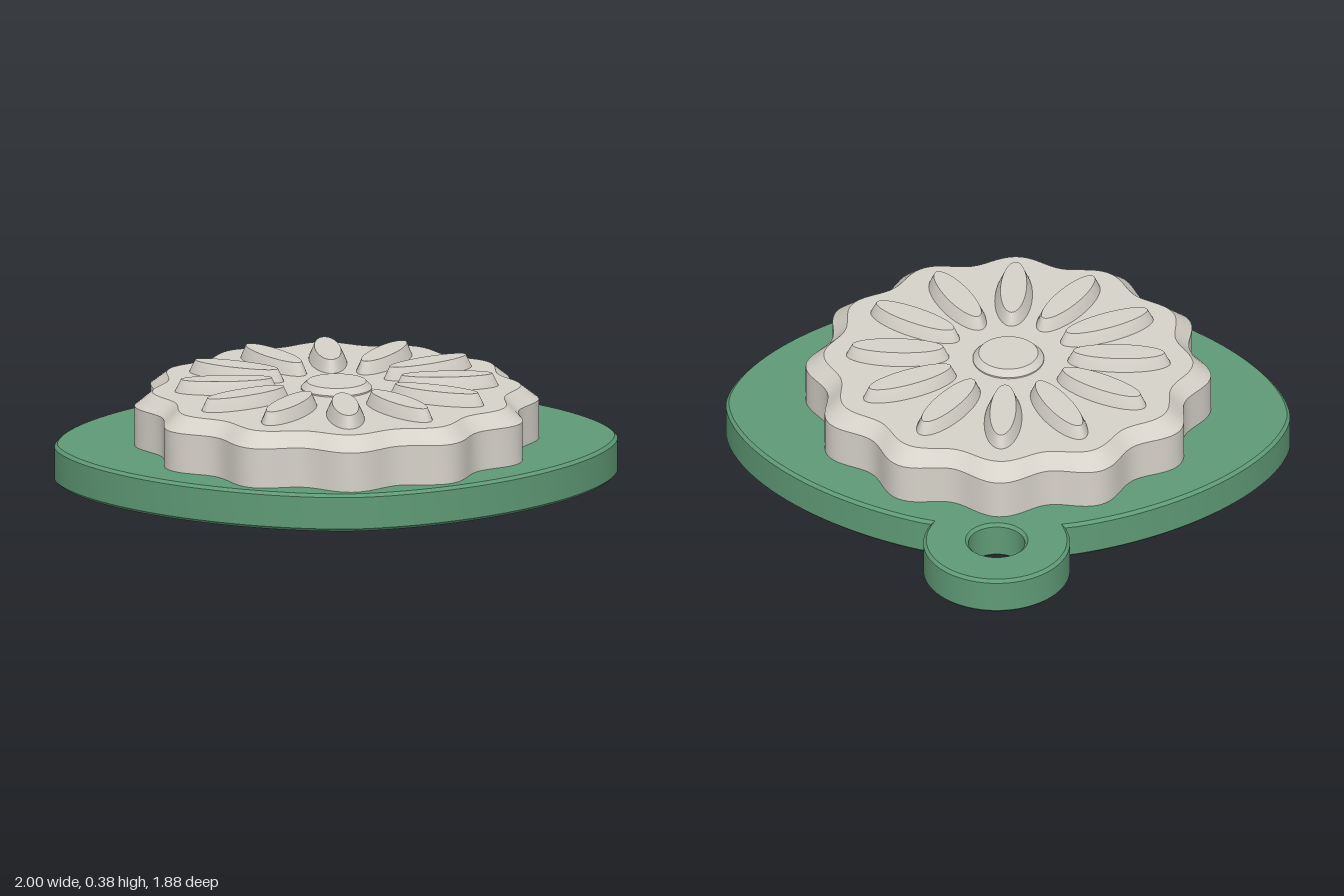
import * as THREE from 'three';
import { toCreasedNormals } from 'three/addons/utils/BufferGeometryUtils.js';

const TAU = Math.PI * 2;

// Stack of closed rings, each a function angle -> [x, y, z], capped on top.
function loft(rings, segments) {
  const pos = [];
  const topY = rings[rings.length - 1](0)[1];
  for (let i = 0; i < segments; i++) {
    const a = (i / segments) * TAU, b = ((i + 1) / segments) * TAU;
    for (let k = 0; k < rings.length - 1; k++) {
      const p = rings[k](a), q = rings[k](b), r = rings[k + 1](b), s = rings[k + 1](a);
      pos.push(...p, ...r, ...q, ...p, ...s, ...r);
    }
    const top = rings[rings.length - 1];
    pos.push(0, topY, 0, ...top(b), ...top(a));
  }
  const g = new THREE.BufferGeometry();
  g.setAttribute('position', new THREE.Float32BufferAttribute(pos, 3));
  return toCreasedNormals(g, 0.4);
}

const ellipse = (rx, y, rz) => (t) => [rx * Math.cos(t), y, rz * Math.sin(t)];
const scallop = (radius, wave, y) => (t) => {
  const r = radius + wave * Math.cos(12 * t);
  return [r * Math.cos(t), y, r * Math.sin(t)];
};

// Pointed oval plate joined to a round hanging tab with a hole.
function baseGeometry() {
  const pts = [];
  for (let i = 0; i <= 48; i++) {
    const t = -0.417 + (i / 48) * (Math.PI + 0.834);
    pts.push(new THREE.Vector2(0.26 * Math.cos(t), 0.68 + 0.26 * Math.sin(t)));
  }
  const power = (v) => Math.sign(v) * Math.abs(v) ** (2 / 1.7);
  const start = Math.PI - 1.272, sweep = Math.PI + 2.544;
  for (let i = 1; i < 128; i++) {
    const t = start + (i / 128) * sweep;
    pts.push(new THREE.Vector2(power(Math.cos(t)), -0.16 + 0.778 * power(Math.sin(t))));
  }
  const shape = new THREE.Shape(pts);
  const hole = new THREE.Path();
  hole.absarc(0, 0.68, 0.1, 0, TAU, true);
  shape.holes.push(hole);
  const bevel = 0.011;
  const g = new THREE.ExtrudeGeometry(shape, {
    depth: 0.137 - 2 * bevel, bevelEnabled: true, bevelThickness: bevel,
    bevelSize: bevel, bevelOffset: -bevel, bevelSegments: 1, curveSegments: 24,
  });
  g.rotateX(-Math.PI / 2);
  g.translate(0, bevel, 0);
  return toCreasedNormals(g, 0.4);
}

export function createModel() {
  const green = new THREE.MeshStandardMaterial({ color: 0x5f9a76 });
  green.name = 'green';
  const stone = new THREE.MeshStandardMaterial({ color: 0xd6d2c9 });
  stone.name = 'warm grey';

  const model = new THREE.Group();
  model.name = 'ornament';
  const add = (parent, name, geometry, material) => {
    const mesh = new THREE.Mesh(geometry, material);
    mesh.name = name;
    parent.add(mesh);
    return mesh;
  };

  add(model, 'basePlate', baseGeometry(), green);

  const flower = new THREE.Group();
  flower.name = 'flower';
  flower.position.z = 0.187;
  model.add(flower);

  // Scalloped body with a chamfered rim
  add(flower, 'scallopedBody', loft([
    scallop(0.687, 0.031, 0.13), scallop(0.687, 0.031, 0.28), scallop(0.63, 0.024, 0.33),
  ], 240), stone);

  // Raised centre button
  add(flower, 'centreButton', loft([
    ellipse(0.126, 0.325, 0.126), ellipse(0.126, 0.335, 0.126), ellipse(0.105, 0.357, 0.105),
  ], 64), stone);

  // Ring of twelve raised petals
  const petal = loft([
    ellipse(0.183, 0.328, 0.067), ellipse(0.181, 0.335, 0.065), ellipse(0.161, 0.375, 0.046),
  ], 48);
  for (let i = 0; i < 12; i++) {
    const a = (i / 12) * TAU;
    const mesh = add(flower, 'petal' + (i + 1), petal, stone);
    mesh.position.set(0.392 * Math.cos(a), 0, -0.392 * Math.sin(a));
    mesh.rotation.y = a;
  }
  return model;
}
